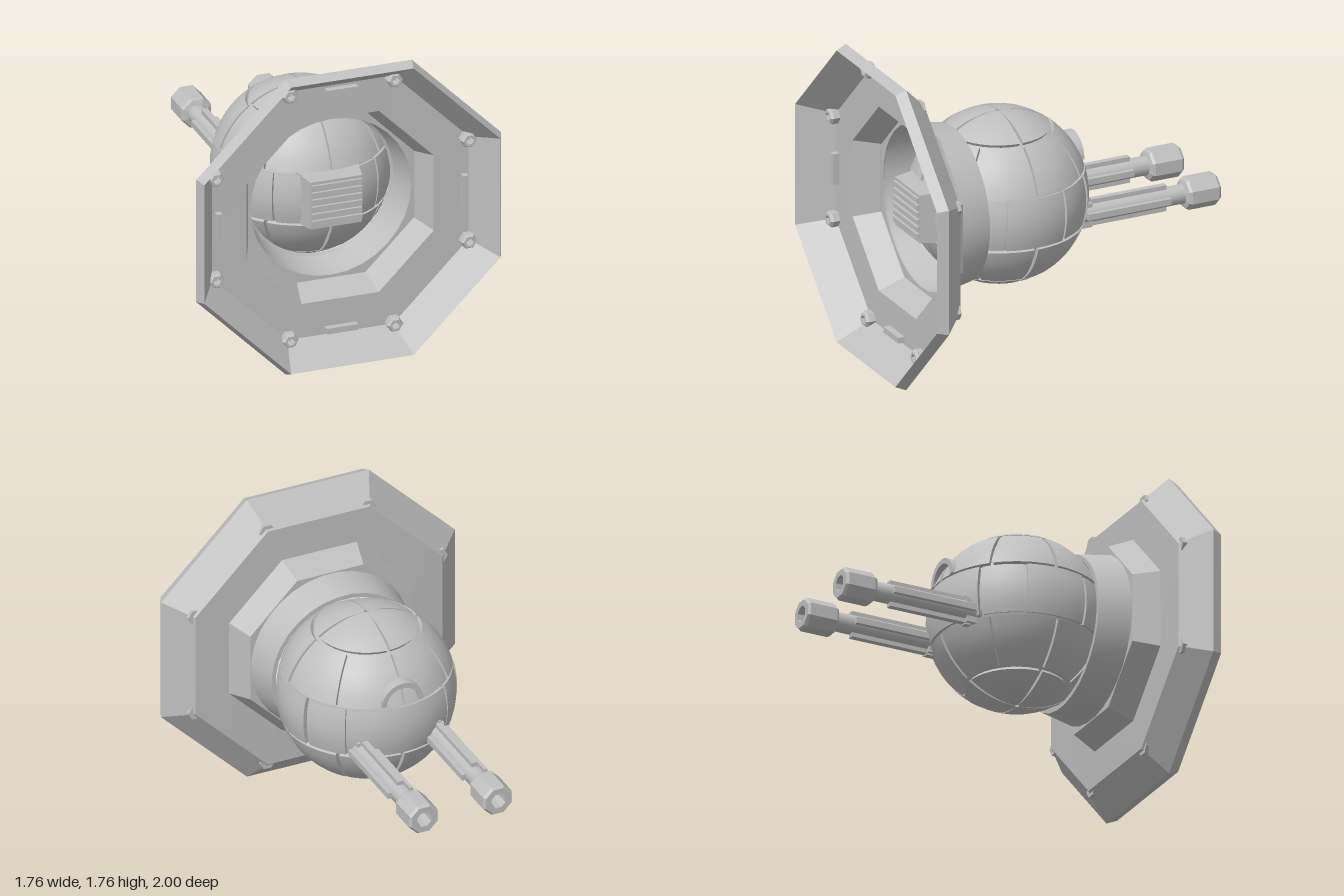
import * as THREE from 'three';
import { toCreasedNormals } from 'three/addons/utils/BufferGeometryUtils.js';

const RAD = Math.PI / 180;
const CY = 0.88, BALL_Z = 0.2;

export function createModel() {
  const model = new THREE.Group();
  model.name = 'wallTurret';
  const grey = new THREE.MeshStandardMaterial({ color: 0xbfbfbf, side: THREE.DoubleSide });
  grey.name = 'plainGrey';

  const add = (name, geo, x = 0, y = 0, z = 0, parent = model) => {
    const mesh = new THREE.Mesh(geo, grey);
    mesh.name = name;
    mesh.position.set(x, y, z);
    parent.add(mesh);
    return mesh;
  };
  // Revolved [radius, z] profile about the z axis, with sharp edges above the crease angle
  const turned = (profile, sides, crease = 30, flats = false) => {
    const k = flats ? 1 / Math.cos(Math.PI / sides) : 1;
    const pts = profile.map(([r, z]) => new THREE.Vector2(r * k, z));
    const geo = new THREE.LatheGeometry(pts, sides, Math.PI / sides);
    geo.rotateX(Math.PI / 2);
    return toCreasedNormals(geo, crease * RAD);
  };
  const box = (w, h, d) => new THREE.BoxGeometry(w, h, d);

  // Octagonal flange: hollow dish opening to the front
  add('flange', turned([[0.48, 0.655], [0.54, 0.795], [0.74, 0.8], [0.88, 0.94], [0.855, 1],
    [0.74, 0.812], [0.54, 0.81], [0.48, 0.67], [0.48, 0.655]], 8, 5, true), 0, CY);

  // Plate joining the octagon to the round collar
  const plate = new THREE.Shape();
  for (let i = 0; i < 8; i++) {
    const a = (22.5 + i * 45) * RAD, r = 0.48 / Math.cos(Math.PI / 8);
    plate[i ? 'lineTo' : 'moveTo'](r * Math.cos(a), r * Math.sin(a));
  }
  plate.closePath();
  plate.holes.push(new THREE.Path().absarc(0, 0, 0.465, 0, Math.PI * 2, true));
  add('collarPlate', new THREE.ExtrudeGeometry(plate,
    { depth: 0.01, bevelEnabled: false, curveSegments: 16 }), 0, CY, 0.655);
  add('collar', turned([[0.415, 0.47], [0.44, 0.47], [0.476, 0.66], [0.468, 0.66],
    [0.43, 0.48], [0.415, 0.47]], 32), 0, CY);

  // Fixings around the dish floor: four bars and eight hollow hex bolts
  for (let i = 0; i < 4; i++) {
    const a = i * Math.PI / 2;
    const bar = add('flangeBar', box(0.18, 0.033, 0.04),
      0.71 * Math.sin(a), CY + 0.71 * Math.cos(a), 0.83);
    bar.rotation.z = -a;
  }
  const bolt = turned([[0.02, 0.81], [0.047, 0.81], [0.047, 0.85], [0.036, 0.865],
    [0.022, 0.865], [0.02, 0.82], [0, 0.82]], 6, 10);
  for (let i = 0; i < 8; i++) {
    const a = (22.5 + i * 45) * RAD;
    add('flangeBolt', bolt, 0.79 * Math.cos(a), CY + 0.79 * Math.sin(a), 0);
  }

  // Armoured ball
  const ball = new THREE.Group();
  ball.name = 'ball';
  ball.position.set(0, CY, BALL_Z);
  model.add(ball);
  add('ballCore', new THREE.SphereGeometry(0.468, 40, 28), 0, 0, 0, ball);
  // Box bent onto the sphere between two longitudes and two latitudes (degrees)
  const armour = (name, lon0, lon1, lat0, lat1, rOut = 0.492) => {
    const geo = new THREE.BoxGeometry(1, 1, 1, 8, 6, 1);
    const p = geo.attributes.position;
    for (let i = 0; i < p.count; i++) {
      const lat = (lat0 + (lat1 - lat0) * (p.getY(i) + 0.5)) * RAD;
      const lon = (lon0 + (lon1 - lon0) * (p.getX(i) + 0.5)) * RAD;
      const r = p.getZ(i) > 0 ? rOut : 0.455;
      p.setXYZ(i, r * Math.cos(lat) * Math.sin(lon), r * Math.sin(lat),
        r * Math.cos(lat) * Math.cos(lon));
    }
    geo.computeVertexNormals();
    add(name, geo, 0, 0, 0, ball);
  };
  for (const s of [-1, 1]) {
    const band = (a, b) => (s > 0 ? [a, b] : [-b, -a]);
    for (let i = 0; i < 4; i++)
      armour('capPanel', i * 90 + 2, i * 90 + 88, ...band(54.5, 88.5), 0.49);
    for (let i = 0; i < 8; i++)
      armour('upperLowerPanel', i * 45 + 1.3, i * 45 + 43.7, ...band(18.8, 52));
  }
  const cuts = [-38, 38, 68, 112, 142, 218, 248, 292, 322];
  for (let i = 0; i < 8; i++)
    armour('middlePanel', cuts[i] + 1.2, cuts[i + 1] - 1.2, -17, 17, i % 2 ? 0.488 : 0.493);

  // Vented box on the front of the ball
  const vent = box(0.36, 0.3, 0.16);
  const vp = vent.attributes.position;
  for (let i = 0; i < vp.count; i++)
    if (vp.getZ(i) > 0) vp.setXY(i, vp.getX(i) * 0.83, vp.getY(i) * 0.93);
  vent.computeVertexNormals();
  add('ventBox', vent, 0, 0.885, 0.67);
  for (let i = 0; i < 6; i++)
    add('ventSlat', box(0.29, 0.026, 0.018), 0, 0.785 + i * 0.042, 0.756);

  // Arched hood on the upper back
  const arch = new THREE.Shape();
  arch.absarc(0, 0, 0.125, 0, Math.PI, false);
  arch.absarc(0, 0, 0.095, Math.PI, 0, true);
  arch.closePath();
  add('hood', toCreasedNormals(new THREE.ExtrudeGeometry(arch,
    { depth: 0.14, bevelEnabled: false, curveSegments: 10 }), 0.6), 0, 1.04, -0.26);

  // Twin barrels with rails and hollow muzzles
  const muzzle = turned([[0.05, -0.8], [0.078, -0.81], [0.086, -0.825], [0.086, -0.985],
    [0.075, -1], [0.042, -1], [0.038, -0.88], [0, -0.88]], 8, 10, true);
  const shaft = turned([[0.054, -0.82], [0.056, -0.15]], 16);
  for (const s of [-1, 1]) {
    const barrel = new THREE.Group();
    barrel.name = s > 0 ? 'leftBarrel' : 'rightBarrel';
    barrel.position.set(s * 0.222, 0.772, 0);
    model.add(barrel);
    add('shaft', shaft, 0, 0, 0, barrel);
    add('muzzle', muzzle, 0, 0, 0, barrel);
    for (let i = 0; i < 4; i++) {
      const a = i * Math.PI / 2;
      const rail = add('rail', box(0.035, 0.03, 0.5),
        0.061 * Math.sin(a), 0.061 * Math.cos(a), -0.45, barrel);
      rail.rotation.z = -a;
    }
    add('mount', box(0.075, 0.14, 0.1), 0, -0.005, -0.19, barrel);
    add('mountPin', box(0.035, 0.17, 0.035), 0, 0, -0.225, barrel);
  }
  return model;
}
